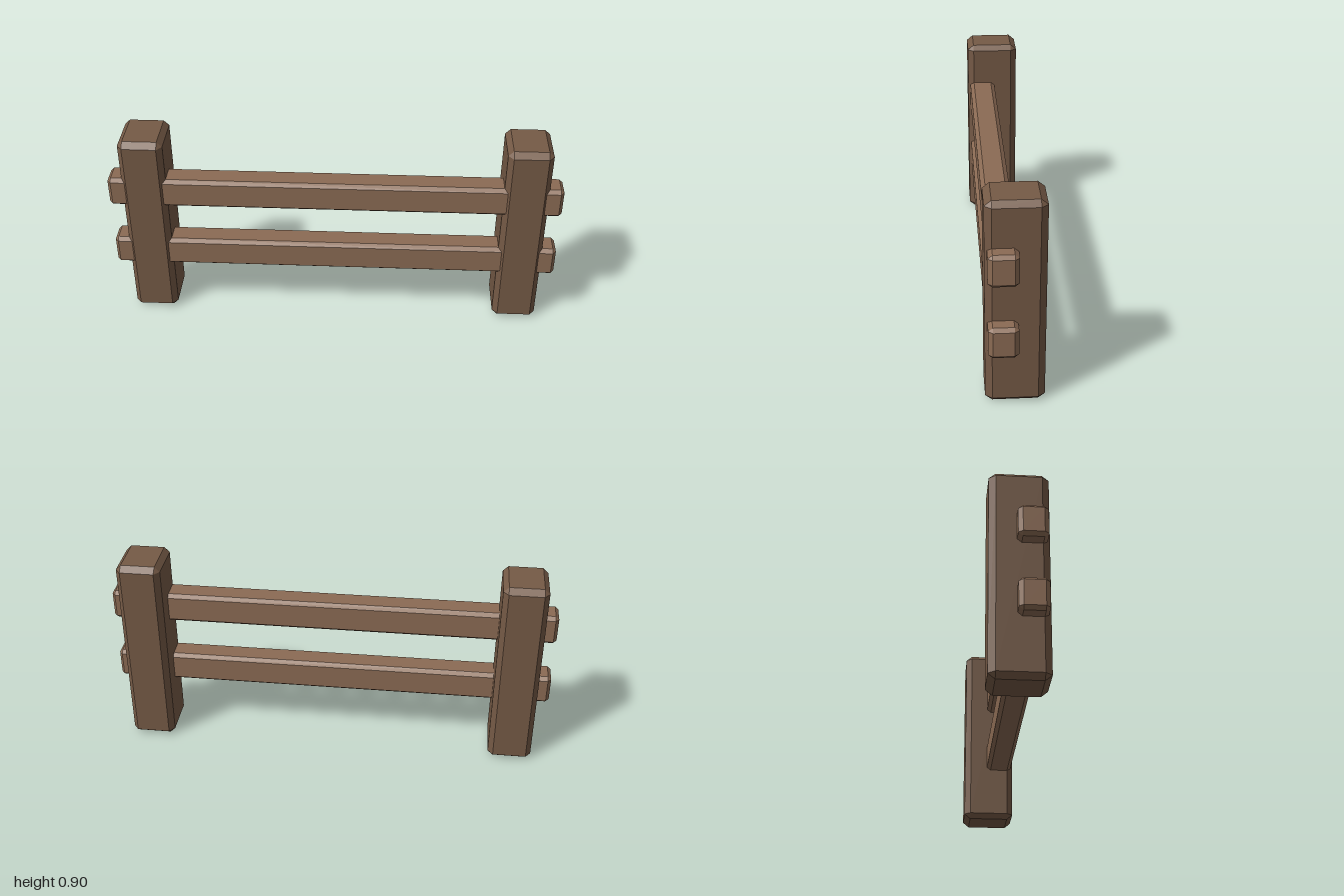
import * as THREE from 'three';
import { ConvexGeometry } from 'three/addons/geometries/ConvexGeometry.js';

// Box with every edge cut by a flat chamfer; cut is the inset along each axis
function chamferBox(size, cut) {
  const points = [];
  for (const sx of [-1, 1]) for (const sy of [-1, 1]) for (const sz of [-1, 1]) {
    // each corner becomes three points, one on each adjoining face
    for (let face = 0; face < 3; face++) {
      const p = [sx, sy, sz].map((s, i) => s * (size[i] / 2 - (i === face ? 0 : cut[i])));
      points.push(new THREE.Vector3(...p));
    }
  }
  return new ConvexGeometry(points);
}

export function createModel() {
  const model = new THREE.Group();
  model.name = 'fence';

  const postWood = new THREE.MeshStandardMaterial({ color: 0x755a46, flatShading: true });
  const railWood = new THREE.MeshStandardMaterial({ color: 0x8b6b54, flatShading: true });

  const add = (name, geometry, material, x, y, z) => {
    const mesh = new THREE.Mesh(geometry, material);
    mesh.name = name;
    mesh.position.set(x, y, z);
    model.add(mesh);
  };

  // Upright posts
  const post = chamferBox([0.196, 0.9, 0.24], [0.023, 0.023, 0.028]);
  add('leftPost', post, postWood, 0.839, 0.45, 0);
  add('rightPost', post, postWood, -0.839, 0.45, 0);

  // Horizontal rails, passing through the posts near their front faces
  const rail = chamferBox([2, 0.138, 0.12], [0.015, 0.015, 0.018]);
  add('lowerRail', rail, railWood, 0, 0.321, 0.05);
  add('upperRail', rail, railWood, 0, 0.641, 0.05);

  return model;
}
